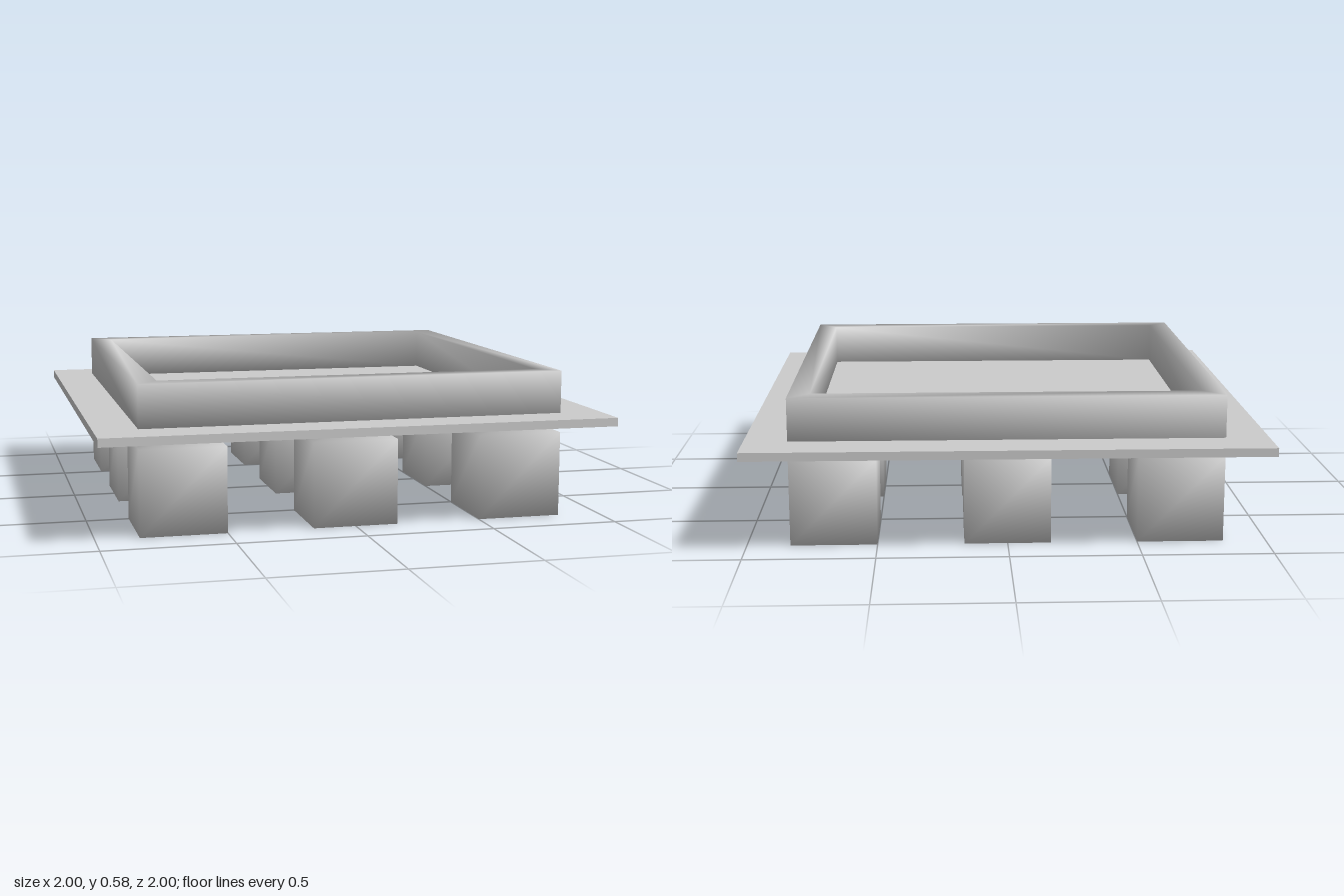
import * as THREE from 'three';
import { mergeVertices } from 'three/addons/utils/BufferGeometryUtils.js';

const material = new THREE.MeshStandardMaterial({ color: 0xcccccc });
const doubleSided = new THREE.MeshStandardMaterial({ color: 0xcccccc, side: THREE.DoubleSide });

function part(name, geometry, y = 0, mat = material) {
  const mesh = new THREE.Mesh(geometry, mat);
  mesh.name = name;
  mesh.position.y = y;
  return mesh;
}

// Share corner vertices so the shading runs softly around the edges
function softened(geometry) {
  geometry.deleteAttribute('normal');
  geometry.deleteAttribute('uv');
  const merged = mergeVertices(geometry);
  merged.computeVertexNormals();
  return merged;
}

function square(half, PathType = THREE.Shape) {
  return new PathType([[-1, -1], [1, -1], [1, 1], [-1, 1]]
    .map(([x, y]) => new THREE.Vector2(x * half, y * half)));
}

// Cube lamp: short round stem, cube housing and a round opening underneath
function createLamp() {
  const size = 0.333, radius = 0.13, depth = 0.25;
  const lamp = new THREE.Group();
  lamp.name = 'lamp';

  // Housing without its bottom face
  const housing = softened(new THREE.BoxGeometry(size, size, size));
  const index = Array.from(housing.index.array);
  index.splice(18, 6);
  housing.setIndex(index);
  lamp.add(part('lampHousing', housing, size / 2));

  // Bottom face with the opening
  const face = square(size / 2);
  face.holes.push(new THREE.Path().absarc(0, 0, radius, 0, Math.PI * 2, true));
  lamp.add(part('lampRim', new THREE.ShapeGeometry(face, 24).rotateX(Math.PI / 2)));

  // Recess wall and ceiling
  lamp.add(part('lampRecess',
    new THREE.CylinderGeometry(radius, radius, depth, 32, 1, true), depth / 2, doubleSided));
  lamp.add(part('lampRecessTop', new THREE.CircleGeometry(radius, 32).rotateX(Math.PI / 2), depth));

  lamp.add(part('lampStem', new THREE.CylinderGeometry(0.083, 0.083, 0.05, 32), 0.356));
  return lamp;
}

export function createModel() {
  const model = new THREE.Group();
  model.name = 'ceilingLampPanel';

  // Thin square plate
  model.add(part('plate', new THREE.BoxGeometry(2, 0.033, 2), 0.393));

  // Raised square frame on the plate
  const outline = square(0.833);
  outline.holes.push(square(0.75, THREE.Path));
  const frame = new THREE.ExtrudeGeometry(outline, { depth: 0.167, bevelEnabled: false });
  frame.rotateX(-Math.PI / 2);
  model.add(part('mountingFrame', softened(frame), 0.41));

  // Three by three grid of lamps
  for (const x of [-0.667, 0, 0.667]) {
    for (const z of [-0.667, 0, 0.667]) {
      const lamp = createLamp();
      lamp.position.set(x, 0, z);
      model.add(lamp);
    }
  }
  return model;
}
